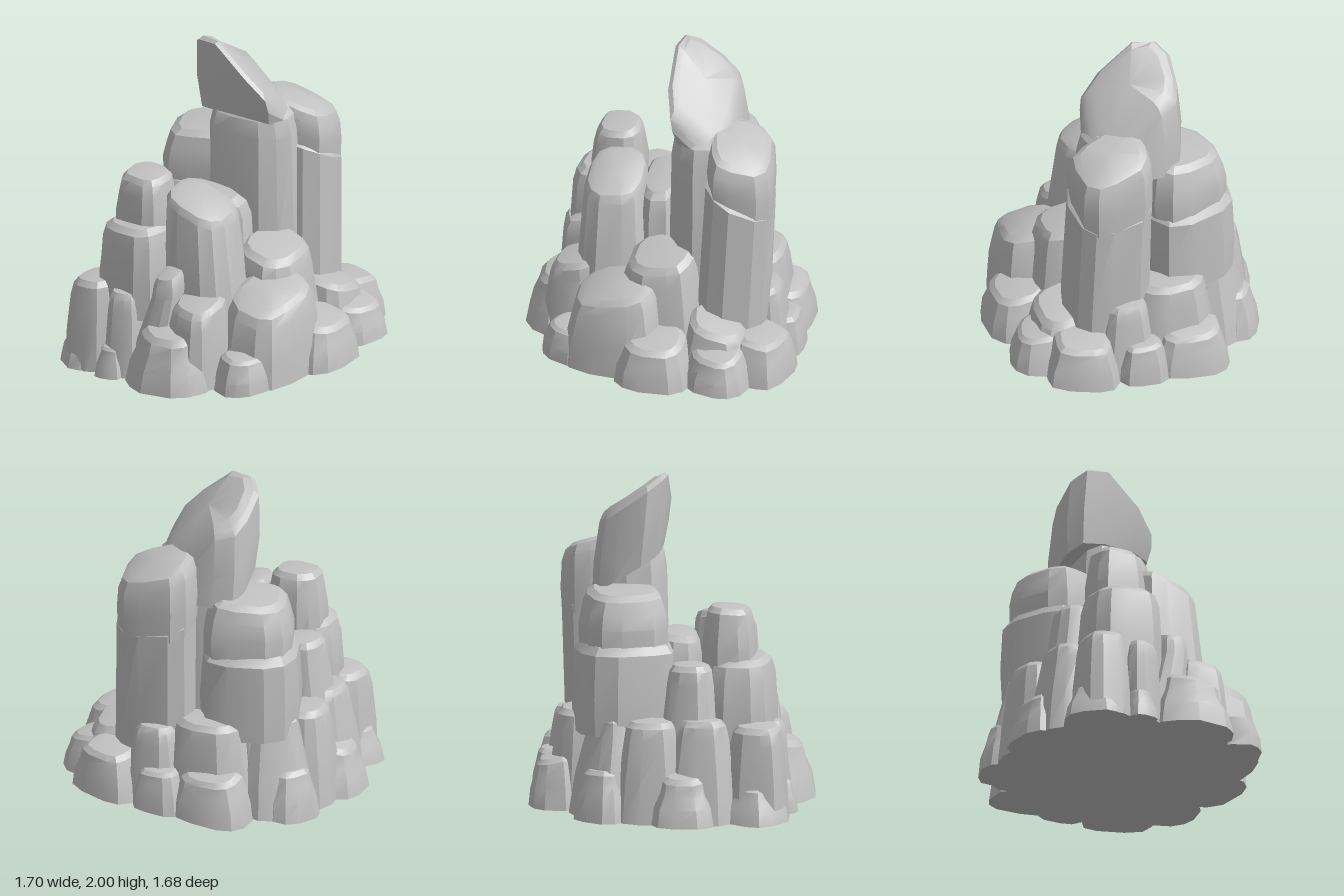
import * as THREE from 'three';
import { toCreasedNormals } from 'three/addons/utils/BufferGeometryUtils.js';

// small seeded generator for uneven outlines
let seed = 7;
const rand = () => (seed = (seed * 16807) % 2147483647) / 2147483647;

// the underside is a slightly tilted plane
const groundY = x => Math.max(0, 0.065 + 0.077 * x);

// A boulder: a rounded-box outline lofted upward to a sloping, bevelled top.
// y0 = null stands it on the ground plane; sx, sz slope the top, level left of ridge;
// bz slopes the bottom; dx, dz lean it.
function rockGeometry({ x, z, y0 = null, y1, rx, rz, yaw = 0, sx = 0, sz = 0, ridge = -1, bz = 0, taper = 0.85, dx = 0, dz = 0, edge = 0.11 }) {
  const N = 12, pos = [], idx = [];
  const h = y1 - (y0 ?? groundY(x));
  const bevel = Math.min(edge, h * 0.3);
  const jitter = Array.from({ length: N }, () => 0.94 + 0.1 * rand());
  const levels = [[0, 0, y0 === null ? 1 : 0.95], [0.4, 0, 1], [1, bevel, 0.97], [1, bevel * 0.3, 0.87], [1, 0, 0.7]];
  const pw = v => Math.sign(v) * Math.pow(Math.abs(v), 0.72);
  const c = Math.cos(yaw), s = Math.sin(yaw);
  levels.forEach(([t, drop, r]) => {
    for (let i = 0; i < N; i++) {
      const a = ((i + 0.35) / N) * Math.PI * 2;
      const k = r * (jitter[i] + 0.03 * (rand() - 0.5)) * (1 + (taper - 1) * t);
      const u = pw(Math.cos(a)) * rx * k, v = pw(Math.sin(a)) * rz * k;
      const lx = u * c - v * s, lz = u * s + v * c;
      const px = x + lx + dx * t, pz = z + lz + dz * t;
      const bottom = (y0 ?? groundY(px)) + bz * lz;
      const top = y1 + sx * Math.max(lx, ridge) + sz * lz - drop;
      pos.push(px, bottom + t * (top - bottom), pz);
    }
  });
  for (let j = 0; j < levels.length - 1; j++) {
    for (let i = 0; i < N; i++) {
      const a = j * N + i, b = j * N + (i + 1) % N;
      idx.push(a, a + N, b, b, a + N, b + N);
    }
  }
  // close both ends
  const low = pos.length / 3, high = low + 1, last = (levels.length - 1) * N;
  pos.push(x, y0 ?? groundY(x), z, x + dx, y1 + 0.015, z + dz);
  for (let i = 0; i < N; i++) {
    const n = (i + 1) % N;
    idx.push(low, i, n, high, last + n, last + i);
  }
  const g = new THREE.BufferGeometry();
  g.setAttribute('position', new THREE.Float32BufferAttribute(pos, 3));
  g.setIndex(idx);
  return toCreasedNormals(g, 0.45);
}

const parts = {
  // tall leaning spire and its neighbour
  spireCap: [{ x: 0.01, z: -0.26, y0: 1.42, y1: 1.825, rx: 0.31, rz: 0.22, yaw: 0.05, sx: -0.85, sz: 0.7, ridge: -0.1, bz: 0.6, taper: 0.98, dz: 0.04, edge: 0.05 }],
  spireColumn: [{ x: 0.06, z: -0.235, y1: 1.57, rx: 0.29, rz: 0.22, yaw: -0.1, taper: 0.95, edge: 0.15 }],
  rearColumn: [{ x: 0.25, z: -0.42, y1: 1.27, rx: 0.25, rz: 0.21, yaw: -0.12, sx: -0.1, sz: 0.5, taper: 1, dx: -0.02, dz: -0.05, edge: 0.04 }],
  rearColumnCap: [{ x: 0.22, z: -0.465, y0: 1.2, y1: 1.55, rx: 0.25, rz: 0.215, yaw: -0.15, sx: -0.25, sz: 0.25, bz: 0.5, taper: 0.97, edge: 0.08 }],
  // stacked rocks behind on the right-hand side
  rearStack: [
    { x: -0.27, z: -0.28, y0: 1.0, y1: 1.34, rx: 0.28, rz: 0.27, yaw: -0.3, sx: 0.08, taper: 0.92 },
    { x: -0.28, z: -0.27, y0: 0.5, y1: 1.05, rx: 0.31, rz: 0.31, yaw: -0.2, taper: 0.95, edge: 0.07 },
    { x: -0.3, z: -0.25, y1: 0.64, rx: 0.3, rz: 0.3, yaw: 0.2 },
  ],
  // front columns
  frontColumn: [{ x: 0.09, z: 0.31, y1: 1.15, rx: 0.28, rz: 0.25, yaw: 0.08, sx: -0.3, sz: -0.05, taper: 0.76, dx: -0.05, edge: 0.06 }],
  sideColumn: [
    { x: -0.32, z: 0.35, y0: 0.85, y1: 1.25, rx: 0.18, rz: 0.17, yaw: 0.1, sz: -0.06, taper: 0.88 },
    { x: -0.33, z: 0.41, y0: 0.4, y1: 0.96, rx: 0.245, rz: 0.225, yaw: 0.1, sx: 0.08, taper: 0.93 },
    { x: -0.5, z: 0.13, y1: 0.92, rx: 0.2, rz: 0.21, yaw: 0.2, taper: 0.72, dx: 0.06 },
  ],
  saddleRock: [{ x: -0.1, z: 0.05, y1: 1.06, rx: 0.32, rz: 0.15, sz: -0.1, taper: 0.9 }],
  // middle ring of boulders
  middleBoulder: [
    { x: 0.34, z: -0.02, y1: 0.8, rx: 0.24, rz: 0.27, yaw: 0.2, sx: -0.2, sz: -0.15, taper: 0.82 },
    { x: 0.47, z: 0.23, y1: 0.63, rx: 0.25, rz: 0.32, yaw: 0.15, sx: -0.15, sz: -0.25, taper: 0.85, edge: 0.08 },
    { x: 0.15, z: 0.52, y1: 0.6, rx: 0.19, rz: 0.19, yaw: 0.2, sz: -0.3 },
    { x: -0.15, z: 0.52, y1: 0.73, rx: 0.14, rz: 0.17, yaw: 0.1, sx: 0.2, sz: -0.3, taper: 0.7, dx: 0.1 },
    { x: -0.32, z: 0.57, y1: 0.57, rx: 0.12, rz: 0.14, taper: 0.87 },
    { x: -0.55, z: 0.52, y1: 0.58, rx: 0.17, rz: 0.19, yaw: 0.3, sx: 0.1, taper: 0.85 },
    { x: -0.59, z: 0.2, y1: 0.61, rx: 0.18, rz: 0.22, taper: 0.75, dx: 0.03 },
    { x: -0.55, z: -0.1, y1: 0.6, rx: 0.2, rz: 0.22, taper: 0.78 },
    { x: -0.48, z: -0.36, y1: 0.62, rx: 0.23, rz: 0.21, yaw: -0.7, taper: 0.72, dx: 0.03, dz: 0.03 },
    { x: -0.13, z: -0.53, y1: 0.61, rx: 0.28, rz: 0.2, taper: 0.82 },
    { x: 0.18, z: -0.6, y1: 0.56, rx: 0.18, rz: 0.17, taper: 0.75 },
    { x: 0.5, z: -0.38, y1: 0.47, rx: 0.2, rz: 0.21, sx: -0.15, sz: 0.25, taper: 0.88 },
  ],
  // low outer ring
  lowBoulder: [
    { x: 0.02, z: 0.61, y1: 0.42, rx: 0.27, rz: 0.23, sz: -0.2, taper: 0.75 },
    { x: 0.45, z: 0.5, y1: 0.31, rx: 0.16, rz: 0.18, yaw: 0.5 },
    { x: 0.65, z: -0.03, y1: 0.4, rx: 0.2, rz: 0.24, sx: -0.15 },
    { x: 0.65, z: -0.4, y1: 0.35, rx: 0.18, rz: 0.19, yaw: 0.4, sx: -0.15 },
    { x: 0.46, z: -0.64, y1: 0.38, rx: 0.23, rz: 0.17, yaw: 0.4, sz: 0.15 },
    { x: 0.12, z: -0.7, y1: 0.32, rx: 0.16, rz: 0.14 },
    { x: -0.2, z: -0.68, y1: 0.33, rx: 0.24, rz: 0.17, yaw: 0.05, sz: 0.2 },
    { x: -0.55, z: -0.37, y1: 0.31, rx: 0.19, rz: 0.18, yaw: 0.5, taper: 0.78 },
    { x: -0.66, z: 0.09, y1: 0.31, rx: 0.19, rz: 0.2, sx: 0.3, taper: 0.75 },
    { x: -0.59, z: 0.51, y1: 0.23, rx: 0.18, rz: 0.19, yaw: 0.7, sx: 0.1, taper: 0.75 },
    { x: -0.37, z: 0.66, y1: 0.22, rx: 0.1, rz: 0.1, taper: 0.7 },
  ],
  // filler between the boulders, with the flat underside
  core: [
    { x: 0, z: 0, y1: 0.42, rx: 0.6, rz: 0.6, yaw: 0.4, taper: 0.88 },
    { x: 0, z: 0, y1: 0.64, rx: 0.47, rz: 0.47, taper: 0.92 },
  ],
};

export function createModel() {
  const model = new THREE.Group();
  model.name = 'rockFormation';
  const stone = new THREE.MeshStandardMaterial({ color: 0xc2c2c2 });
  stone.name = 'grey stone';
  for (const [name, rocks] of Object.entries(parts)) {
    const group = new THREE.Group();
    group.name = name;
    rocks.forEach((rock, i) => {
      const mesh = new THREE.Mesh(rockGeometry(rock), stone);
      mesh.name = rocks.length > 1 ? `${name}${i + 1}` : name;
      group.add(mesh);
    });
    model.add(group);
  }
  return model;
}
